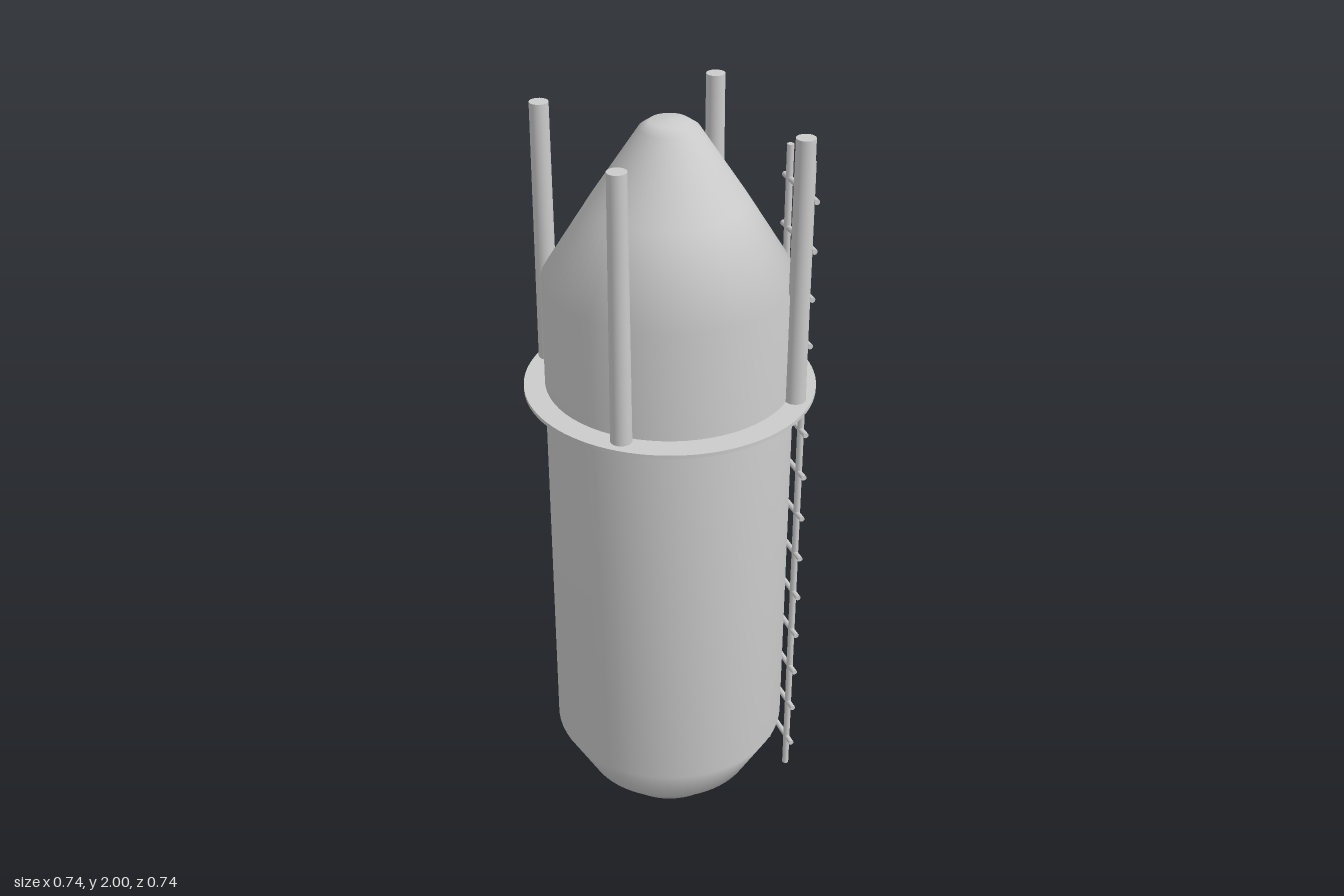
import * as THREE from 'three';

const grey = new THREE.MeshStandardMaterial({ color: 0xcccccc });
const CX = -0.005, CZ = -0.01; // axis of the hull

function add(group, name, geometry, x = 0, y = 0, z = 0) {
  const mesh = new THREE.Mesh(geometry, grey);
  mesh.name = name;
  mesh.position.set(x, y, z);
  group.add(mesh);
  return mesh;
}

// Round bar between two points
function bar(group, name, a, b, radius) {
  const dir = b.clone().sub(a);
  const mid = a.clone().add(b).multiplyScalar(0.5);
  const mesh = add(group, name, new THREE.CylinderGeometry(radius, radius, dir.length(), 10), mid.x, mid.y, mid.z);
  mesh.quaternion.setFromUnitVectors(new THREE.Vector3(0, 1, 0), dir.normalize());
}

export function createModel() {
  const model = new THREE.Group();
  model.name = 'storageTank';

  // Hull: base neck, tapered foot, cylinder and conical top
  const profile = [
    [0, 0.02], [0.16, 0.02], [0.16, 0.02], [0.162, 0.055], [0.237, 0.097], [0.316, 0.24],
    [0.316, 1.6], [0.192, 1.8], [0.073, 1.98], [0.048, 1.997], [0, 2],
  ].map(([r, y]) => new THREE.Vector2(r, y));
  add(model, 'hull', new THREE.LatheGeometry(profile.filter((p, i) => i !== 2), 64), CX, 0, CZ);

  // Thin platform ring around the hull
  add(model, 'platformRing', new THREE.CylinderGeometry(0.37, 0.37, 0.01, 96), 0, 1.307, 0);

  // Four tapered posts standing on the ring
  for (let i = 0; i < 4; i++) {
    const a = (i * Math.PI) / 2;
    add(model, 'post', new THREE.CylinderGeometry(0.024, 0.027, 0.69, 24),
      CX + 0.333 * Math.cos(a), 1.655, CZ + 0.333 * Math.sin(a));
  }

  // Ladder on the back left side
  const ladder = new THREE.Group();
  ladder.name = 'ladder';
  for (const [x, z] of [[0.225, -0.24], [0.308, -0.149]]) {
    bar(ladder, 'ladderRail', new THREE.Vector3(x, 0, z), new THREE.Vector3(x, 1.885, z), 0.009);
  }
  for (let i = 0; i < 14; i++) {
    const y = 0.1 + i * 0.1304;
    bar(ladder, 'ladderRung', new THREE.Vector3(0.206, y, -0.262), new THREE.Vector3(0.331, y, -0.122), 0.0075);
  }
  model.add(ladder);
  return model;
}
